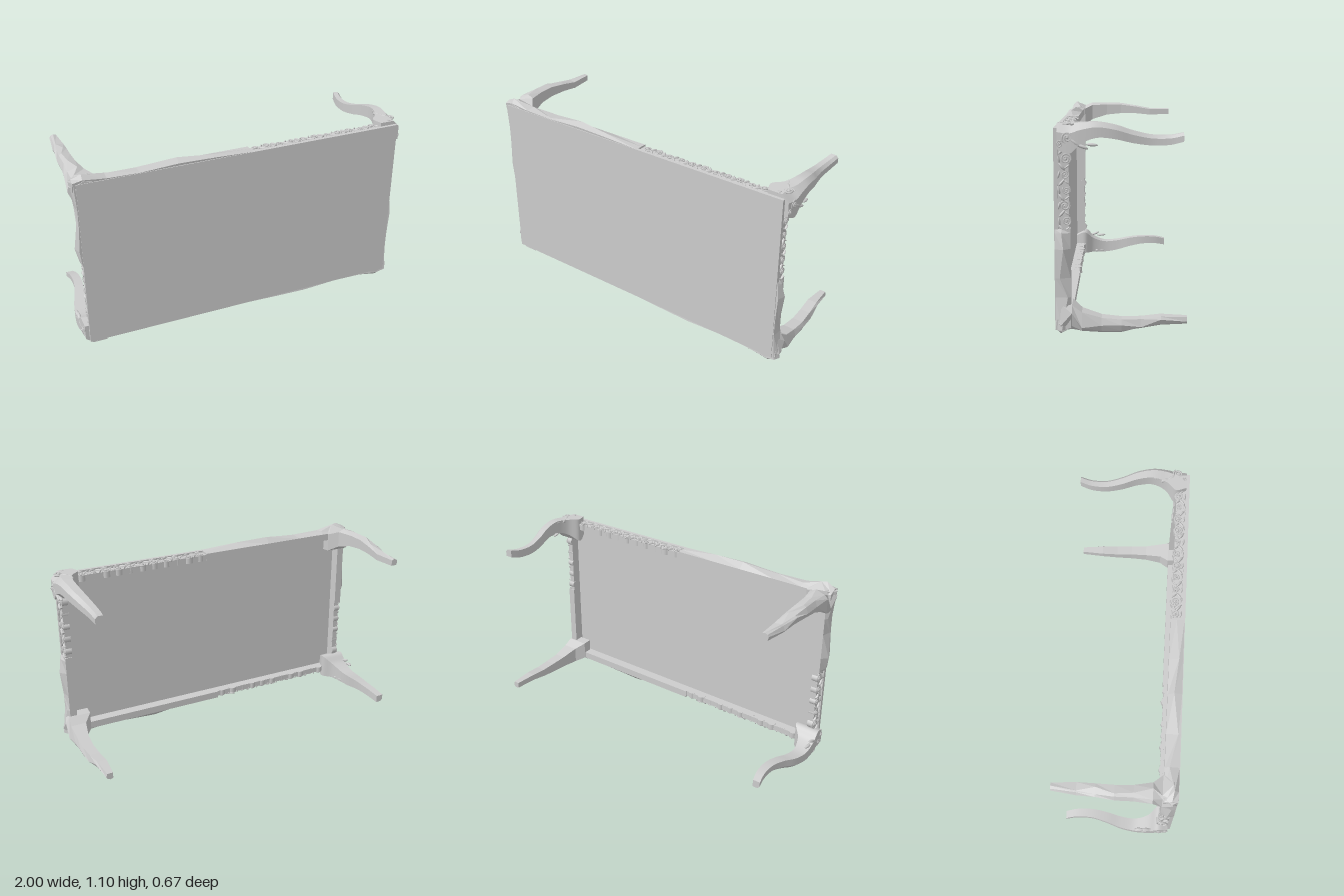
import * as THREE from 'three';
import { toCreasedNormals } from 'three/addons/utils/BufferGeometryUtils.js';

const X = 0.965, Y = 0.505, MID = 0.555; // half width, half depth and centre height of the board
const smooth = new THREE.MeshStandardMaterial({ color: 0xcccccc });
const facet = new THREE.MeshStandardMaterial({ color: 0xcccccc, flatShading: true });
const V = (x, y, z) => new THREE.Vector3(x, y, z);

function add(parent, name, geometry, material = smooth) {
  const mesh = new THREE.Mesh(geometry, material);
  mesh.name = name;
  parent.add(mesh);
  return mesh;
}

// Closed skin through a list of equal-sized rings, wound outward
function loft(rings) {
  const n = rings[0].length, tris = [];
  for (let i = 0; i + 1 < rings.length; i++) {
    for (let j = 0; j < n; j++) {
      const k = (j + 1) % n;
      const a = rings[i][j], b = rings[i][k], c = rings[i + 1][k], d = rings[i + 1][j];
      tris.push([a, b, c], [a, c, d]);
    }
  }
  const first = rings[0], last = rings[rings.length - 1];
  for (let j = 1; j + 1 < n; j++) {
    tris.push([first[0], first[j + 1], first[j]], [last[0], last[j], last[j + 1]]);
  }
  const o = first[0];
  let volume = 0;
  for (const [a, b, c] of tris) {
    volume += a.clone().sub(o).dot(b.clone().sub(o).cross(c.clone().sub(o)));
  }
  const points = tris.flatMap(([a, b, c]) => (volume < 0 ? [a, c, b] : [a, b, c]));
  const g = new THREE.BufferGeometry().setFromPoints(points);
  g.computeVertexNormals();
  return g;
}

// Rough-hewn rail: stations are [distance along, bulge, ridge z]
function roughRail(stations, place) {
  return loft(stations.map(([s, out, rz]) => [
    [-0.045, 0.325], [-0.045, 0.255], [-0.002, 0.255],
    [out, rz], [out * 0.45, 0.333],
  ].map(([o, z]) => place(s, o, z))));
}

// Rough-hewn leg: stations are [z, inner x, outer x, inner y, outer y]
function roughLeg() {
  const stations = [
    [0.333, -0.87, -0.97, 0.98, 1.075], [0.305, -0.84, -1.0, 0.94, 1.1],
    [0.25, -0.84, -0.995, 0.945, 1.075], [0.2, -0.885, -0.995, 0.98, 1.095],
    [0.1, -0.905, -0.985, 1.01, 1.093], [0.0, -0.91, -0.985, 1.02, 1.09],
    [-0.1, -0.905, -0.975, 1.02, 1.075], [-0.2, -0.9, -0.965, 1.01, 1.055],
    [-0.335, -0.91, -0.95, 1.015, 1.055],
  ];
  return loft(stations.map(([z, xi, xo, yi, yo], i) => {
    const w = xo - xi, h = yo - yi, j = 0.22 * Math.sin(i * 2.4);
    return [
      V(xi, yi, z), V(xo - w * 0.15, yi, z), V(xo, yi + h * (0.5 + j), z),
      V(xo - w * 0.18, yo - h * 0.15, z), V(xi + w * (0.5 - j), yo, z), V(xi, yo - h * 0.15, z),
    ].map((p) => p.setY(p.y - MID));
  }));
}

// Smooth S-shaped leg: stations are [x, y, z, half width]
function curvedLeg() {
  const stations = [
    [0.925, 1.02, 0.318, 0.062], [0.92, 1.01, 0.255, 0.074], [0.945, 1.035, 0.2, 0.051],
    [0.955, 1.052, 0.12, 0.038], [0.945, 1.04, 0.03, 0.034], [0.922, 1.014, -0.06, 0.03],
    [0.906, 0.997, -0.15, 0.026], [0.907, 0.997, -0.24, 0.024], [0.92, 1.012, -0.31, 0.022],
  ];
  const line = new THREE.CatmullRomCurve3(stations.map((s) => V(s[0], s[1] - MID, s[2])), false, 'catmullrom');
  const size = new THREE.CatmullRomCurve3(stations.map((s) => V(s[3], 0, 0)), false, 'catmullrom');
  const rings = [];
  for (let i = 0; i <= 48; i++) {
    const p = line.getPoint(i / 48), h = size.getPoint(i / 48).x;
    rings.push([[-1, -1], [1, -1], [1, 0.35], [0.35, 1], [-1, 1]]
      .map(([a, b]) => V(p.x + a * h, p.y + b * h, p.z)));
  }
  return toCreasedNormals(loft(rings), 0.5);
}

// Flat spiral with a round boss at its eye
function scroll(parent, x, y, r, dir, start) {
  const pts = [];
  for (let i = 0; i <= 16; i++) {
    const t = i / 16, a = start + dir * t * 3.6 * Math.PI, q = r * (1 - 0.8 * t);
    pts.push(V(Math.cos(a) * q, Math.sin(a) * q, 0.006 * t));
  }
  const g = new THREE.TubeGeometry(new THREE.CatmullRomCurve3(pts), 40, r * 0.17, 5);
  add(parent, 'scroll', g).position.set(x, y, 0);
  const boss = add(parent, 'scrollEye', new THREE.SphereGeometry(r * 0.28, 8, 6));
  boss.position.set(x, y, 0.004);
}

function leaf(parent, x, y, length, angle) {
  const m = add(parent, 'leaf', new THREE.SphereGeometry(1, 8, 6));
  m.scale.set(length, length * 0.28, 0.011);
  m.rotation.z = angle;
  m.position.set(x, y, 0);
}

// Carved rail in its own plane: x along, y away from the board, z outward
function carvedRail(length) {
  const rail = new THREE.Group();
  rail.name = 'carvedRail';
  add(rail, 'railBacking', new THREE.BoxGeometry(length, 0.058, 0.034)).position.set(0, -0.006, -0.018);
  const count = Math.round(length / 0.077), pitch = length / count;
  for (let i = 0; i < count; i++) {
    const x = (i + 0.5) * pitch - length / 2, dir = i % 2 ? 1 : -1;
    const r = 0.023 + 0.004 * Math.sin(i * 1.9), y = 0.007 + 0.004 * Math.sin(i * 2.7);
    // Rounded lobe running through the rail below each scroll
    const lobe = add(rail, 'lobe', new THREE.CylinderGeometry(r, r, 0.036, 14));
    lobe.rotation.x = Math.PI / 2;
    lobe.position.set(x, y, -0.018);
    scroll(rail, x, y, r, dir, i * 1.3);
    leaf(rail, x + pitch / 2, -0.012, 0.025, dir * 0.7);
    leaf(rail, x + pitch / 2, 0.014, 0.017, -dir * 0.9);
    leaf(rail, x, -0.027, 0.021, dir * 0.25);
  }
  return rail;
}

// Turn a carved group so that its outward side faces the given edge
function orient(group, along, outward, position) {
  const m = new THREE.Matrix4().makeBasis(along, V(0, 0, -1), outward);
  group.quaternion.setFromRotationMatrix(m);
  group.position.copy(position);
  return group;
}

// Scrollwork and leaves on one outer face of the curved leg's knee
function kneeCarving(flip) {
  const g = new THREE.Group();
  g.name = 'kneeCarving';
  scroll(g, 0, 0.02, 0.03, flip, 0.5);
  scroll(g, flip * -0.032, -0.018, 0.018, -flip, 2);
  leaf(g, flip * -0.025, 0.058, 0.035, flip * -0.9);
  leaf(g, flip * -0.045, 0.095, 0.03, flip * -1.2);
  leaf(g, flip * -0.035, 0.14, 0.03, 1.5);
  return g;
}

// One long half of the table: a rough corner and a carved corner
function buildHalf() {
  const half = new THREE.Group();
  half.name = 'tableHalf';
  add(half, 'roughLongRail', roughRail([
    [-0.985, 0.02, 0.3], [-0.93, 0.045, 0.31], [-0.8, 0.014, 0.28], [-0.62, 0.004, 0.32],
    [-0.4, 0.031, 0.29], [-0.2, 0.02, 0.31], [0.035, 0, 0.29],
  ], (s, o, z) => V(s, Y + o, z)), facet);
  add(half, 'roughShortRail', roughRail([
    [0.515, 0.034, 0.3], [0.35, 0.01, 0.27], [0.25, 0.012, 0.31],
    [0.1, 0.03, 0.29], [0.02, 0.012, 0.3], [0, 0, 0.3],
  ], (s, o, z) => V(-X - o, s, z)), facet);
  add(half, 'roughLeg', roughLeg(), facet);
  add(half, 'curvedLeg', curvedLeg());

  const right = V(1, 0, 0), up = V(0, 1, 0), down = V(0, -1, 0);
  half.add(orient(carvedRail(0.9), right, up, V(0.485, Y - 0.01, 0.284)));
  half.add(orient(carvedRail(0.47), down, right, V(X - 0.01, 0.235, 0.284)));
  half.add(orient(kneeCarving(1), right, up, V(0.955, 0.523, 0.285)));
  half.add(orient(kneeCarving(-1), down, right, V(0.988, 0.46, 0.285)));
  return half;
}

export function createModel() {
  const model = new THREE.Group();
  model.name = 'table';
  const body = new THREE.Group();
  body.name = 'tableBody';
  body.position.y = MID;
  model.add(body);
  // Board stands upright with its top facing forward
  add(body, 'tableTop', new THREE.BoxGeometry(X * 2, Y * 2, 0.02)).position.z = 0.326;
  for (const turn of [0, Math.PI]) {
    const half = buildHalf();
    half.rotation.z = turn;
    body.add(half);
  }
  return model;
}
